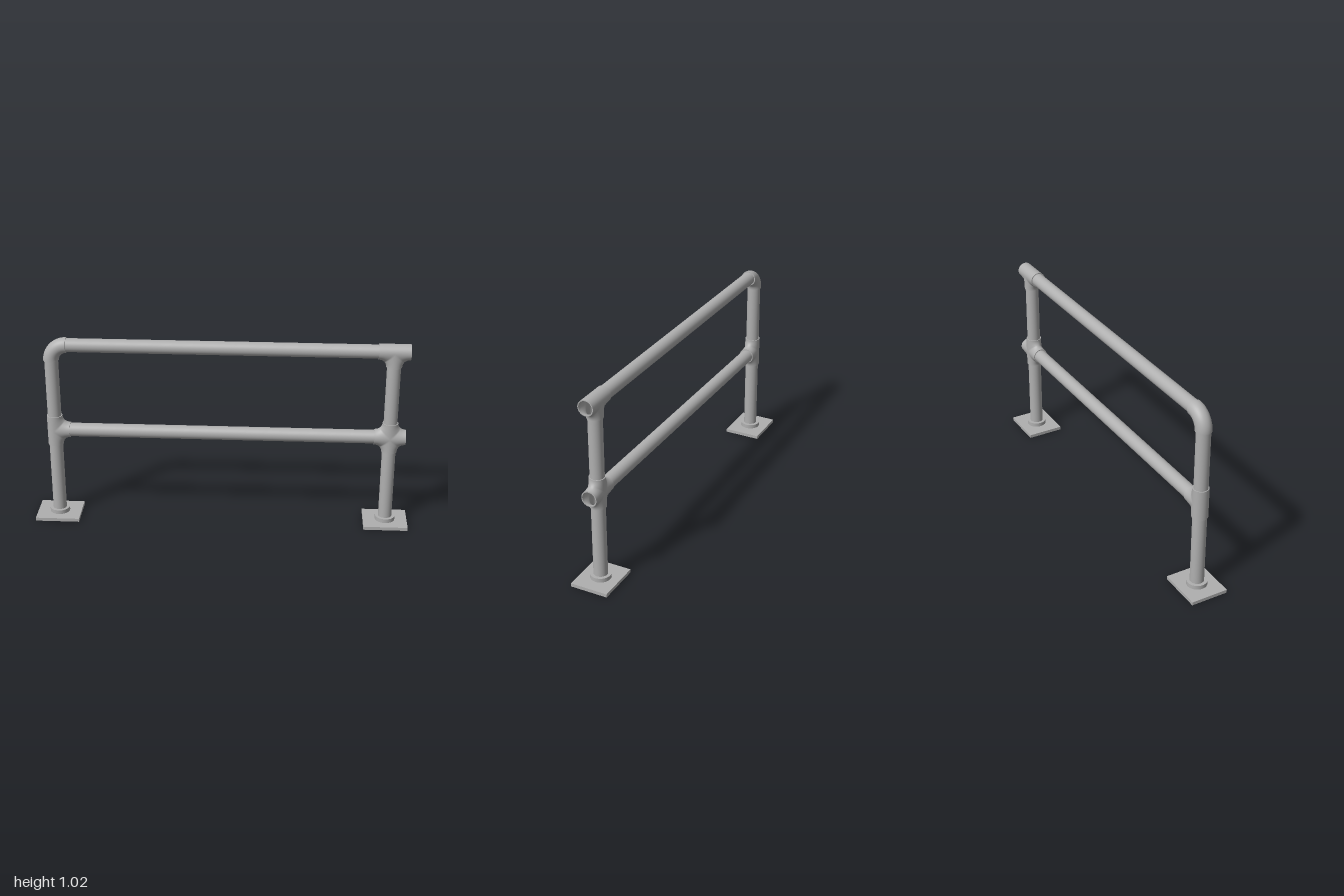
import * as THREE from 'three';
import { mergeGeometries, mergeVertices } from 'three/addons/utils/BufferGeometryUtils.js';

const POST_X = 0.8825, MID_Y = 0.505, TOP_Y = 0.984;
const REACH = 0.082;                    // fitting centre to each mouth
const PIPE_R = 0.036, FIT_R = 0.041;

// Skin swept through sections: each goes from the arm axis (q) out to the silhouette (p) and back.
function skin(sections, r, flip) {
  const m = 20, pos = [], idx = [];
  for (const [q, p] of sections) {
    for (let j = 0; j <= m; j++) {
      const u = (j / m) * Math.PI, s = Math.sin(u);
      pos.push(q[0] + (p[0] - q[0]) * s, q[1] + (p[1] - q[1]) * s, r * Math.cos(u));
    }
  }
  for (let i = 0; i < sections.length - 1; i++) {
    for (let j = 0; j < m; j++) {
      const a = i * (m + 1) + j, b = a + 1, c = a + m + 1, d = c + 1;
      if (flip) idx.push(a, c, b, b, c, d);
      else idx.push(a, b, c, b, d, c);
    }
  }
  const g = new THREE.BufferGeometry();
  g.setAttribute('position', new THREE.Float32BufferAttribute(pos, 3));
  g.setIndex(idx);
  return g;
}

const HALF = 12;

// Rounded inside corner between two arms, mirrored by sx and sy
function corner(r, sx, sy) {
  const sections = [];
  for (let i = 0; i <= 2 * HALF; i++) {
    const t = (i / HALF) * Math.PI / 4, s = Math.sin(t), c = Math.cos(t);
    const at = (d) => [sx * (REACH - d * s), sy * (REACH - d * c)];
    sections.push([at(REACH / Math.max(s, c)), at(REACH - r)]);
  }
  return skin(sections, r, sx * sy < 0);
}

// Straight back of a tee, on the -x side
function straightBack(r) {
  const sections = [];
  for (let i = HALF; i >= -HALF; i--) {
    const y = Math.sign(i) * REACH * (1 - Math.tan((1 - Math.abs(i) / HALF) * Math.PI / 4));
    sections.push([[0, y], [-r, y]]);
  }
  return skin(sections, r, false);
}

function junctionSkin(r, isCross) {
  const parts = [corner(r, 1, 1), corner(r, 1, -1)];
  if (isCross) parts.push(corner(r, -1, 1), corner(r, -1, -1));
  else parts.push(straightBack(r));
  const g = mergeVertices(mergeGeometries(parts), 1e-5);
  g.computeVertexNormals();
  return g;
}

export function createModel() {
  const model = new THREE.Group();
  model.name = 'guardRail';
  const steel = new THREE.MeshStandardMaterial({ color: 0xb0b0b0, side: THREE.DoubleSide });
  steel.name = 'grey steel';

  const add = (parent, name, geometry, x = 0, y = 0, z = 0) => {
    const mesh = new THREE.Mesh(geometry, steel);
    mesh.name = name;
    mesh.position.set(x, y, z);
    parent.add(mesh);
    return mesh;
  };

  // Annular rim at a mouth facing along angle a in the xy plane
  const rim = (parent, a, x, y) => {
    const g = new THREE.RingGeometry(PIPE_R, FIT_R, 40);
    g.rotateY(Math.PI / 2).rotateZ(a);
    add(parent, 'rim', g, x, y);
  };

  const junction = (name, x, y, isCross, turn = 0) => {
    const group = new THREE.Group();
    group.name = name;
    add(group, 'outerSkin', junctionSkin(FIT_R, isCross));
    add(group, 'innerSkin', junctionSkin(PIPE_R, isCross));
    const angles = [0, 1, 3];
    if (isCross) angles.push(2);
    for (const k of angles) {
      const a = k * Math.PI / 2;
      rim(group, a, REACH * Math.cos(a), REACH * Math.sin(a));
    }
    group.position.set(x, y, 0);
    group.rotation.z = turn;
    model.add(group);
  };

  const post = (name, x, y0, y1) =>
    add(model, name, new THREE.CylinderGeometry(PIPE_R, PIPE_R, y1 - y0, 40, 1, true), x, (y0 + y1) / 2);

  const rail = (name, y) => {
    const g = new THREE.CylinderGeometry(PIPE_R, PIPE_R, 2 * (POST_X - REACH), 40, 1, true);
    add(model, name, g.rotateZ(Math.PI / 2), 0, y);
  };

  // Feet and posts
  for (const [side, x] of [['right', -POST_X], ['left', POST_X]]) {
    add(model, side + 'BasePlate', new THREE.BoxGeometry(0.235, 0.018, 0.2), x, 0.009);
    add(model, side + 'Collar', new THREE.CylinderGeometry(0.053, 0.053, 0.022, 40), x, 0.029);
    post(side + 'LowerPost', x, 0.03, MID_Y - REACH);
    post(side + 'UpperPost', x, MID_Y + REACH, TOP_Y - REACH);
  }

  // Horizontal rails
  rail('middleRail', MID_Y);
  rail('topRail', TOP_Y);

  // Pipe fittings
  junction('middleTee', -POST_X, MID_Y, false);
  junction('middleCross', POST_X, MID_Y, true);
  junction('topTee', POST_X, TOP_Y, false, -Math.PI / 2);

  // Swept elbow at the closed top corner
  const elbow = new THREE.Group();
  elbow.name = 'topElbow';
  for (const [name, r] of [['outerSkin', FIT_R], ['innerSkin', PIPE_R]]) {
    add(elbow, name, new THREE.TorusGeometry(REACH, r, 40, 20, Math.PI / 2).rotateZ(Math.PI / 2));
  }
  rim(elbow, 0, 0, REACH);
  rim(elbow, -Math.PI / 2, -REACH, 0);
  elbow.position.set(-POST_X + REACH, TOP_Y - REACH, 0);
  model.add(elbow);

  return model;
}
